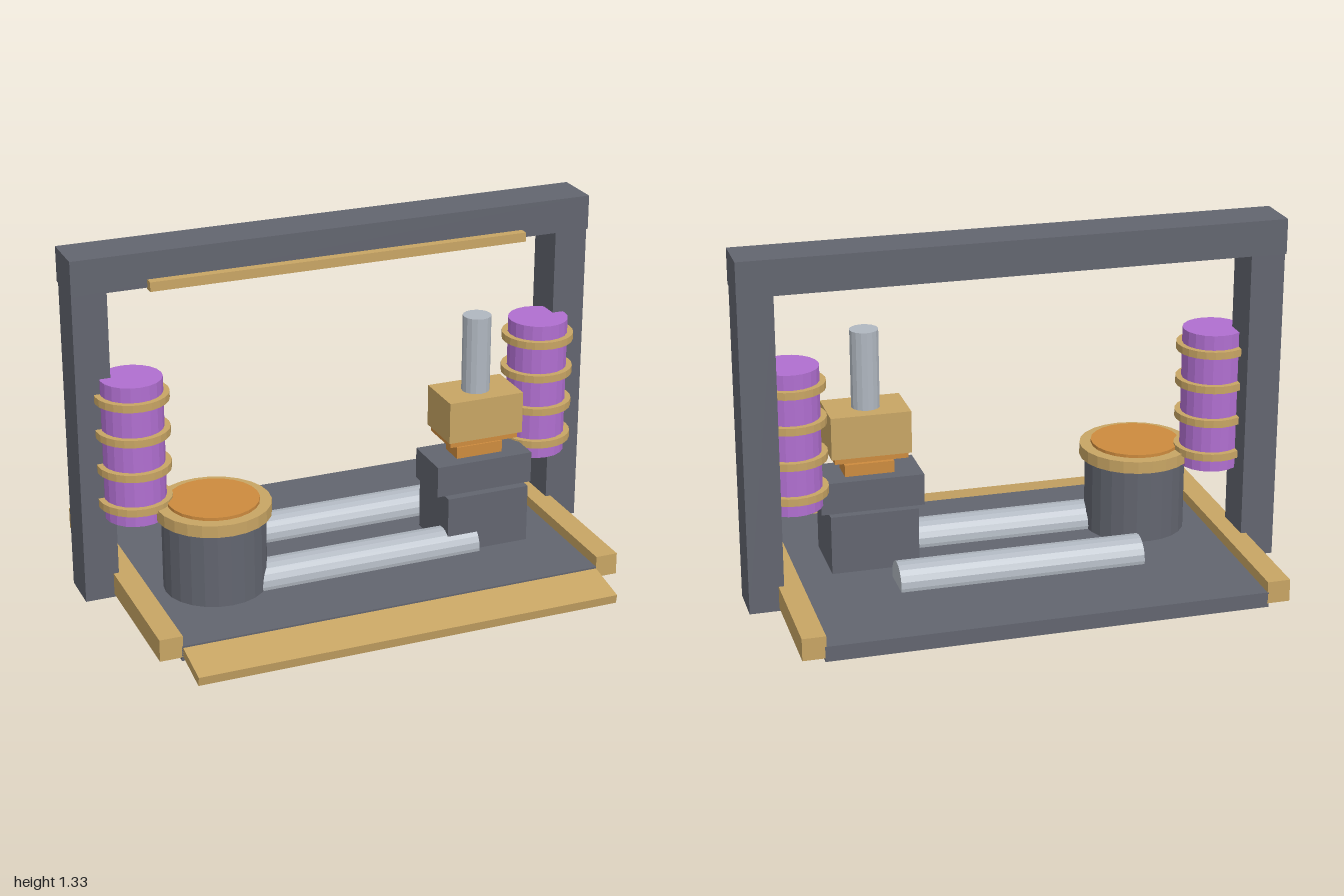
import * as THREE from 'three';

const mat = (name, color, flatShading = true) => {
  const m = new THREE.MeshStandardMaterial({ color, flatShading });
  m.name = name;
  return m;
};

export function createModel() {
  const steel = mat('dark steel', 0x62656f);
  const brass = mat('brass', 0xc8a564);
  const silver = mat('silver', 0xb0b7c0);
  const copper = mat('copper', 0xcd8b3e);
  const violet = mat('violet', 0xb06fd0);

  const model = new THREE.Group();
  model.name = 'workshopGantry';

  const add = (name, geometry, material, parent = model) => {
    const mesh = new THREE.Mesh(geometry, material);
    mesh.name = name;
    parent.add(mesh);
    return mesh;
  };
  // Box given by its limits on each axis
  const box = (name, material, [x0, x1], [y0, y1], [z0, z1], parent) => {
    const mesh = add(name, new THREE.BoxGeometry(x1 - x0, y1 - y0, z1 - z0), material, parent);
    mesh.position.set((x0 + x1) / 2, (y0 + y1) / 2, (z0 + z1) / 2);
    return mesh;
  };
  // Upright cylinder from y0 to y1
  const drum = (name, material, x, z, r, [y0, y1], sides, parent) => {
    const mesh = add(name, new THREE.CylinderGeometry(r, r, y1 - y0, sides), material, parent);
    mesh.position.set(x, (y0 + y1) / 2, z);
    return mesh;
  };

  // Floor plate and tilted front ramp
  box('floorPlate', steel, [-0.81, 0.81], [0.02, 0.077], [-0.655, 0.49]);
  const ramp = add('frontRamp', new THREE.BoxGeometry(1.61, 0.035, 0.18), brass);
  ramp.position.set(0, 0.039, 0.565);
  ramp.rotation.x = 0.18;

  // Gantry frame with a trim strip
  box('topBeam', steel, [-1, 1], [1.205, 1.335], [-0.23, -0.047]);
  box('trimStrip', brass, [-0.725, 0.725], [1.2, 1.235], [-0.013, -0.05]
    .sort((a, b) => a - b));

  // Mirrored sides: post, floor rail, ringed column
  for (const [side, s] of [['left', 1], ['right', -1]]) {
    const span = (a, b) => (s > 0 ? [a, b] : [-b, -a]);
    box(side + 'Post', steel, span(0.87, 0.998), [0.022, 1.21], [-0.22, -0.055]);
    box(side + 'Rail', brass, span(0.805, 0.89), [0.034, 0.117], [-0.655, 0.49]);

    const column = new THREE.Group();
    column.name = side + 'Column';
    model.add(column);
    drum('columnCore', violet, s * 0.8, -0.04, 0.113, [0.35, 0.885], 20, column);
    for (let i = 0; i < 4; i++) {
      const y = 0.413 + i * 0.134;
      drum('columnRing', brass, s * 0.8, -0.04, 0.135, [y - 0.014, y + 0.014], 24, column);
    }
  }

  // Two rollers sunk into the floor
  for (const z of [0.135, -0.23]) {
    const roller = add('floorRoller', new THREE.CylinderGeometry(0.075, 0.075, 0.92, 20), silver);
    roller.rotation.z = Math.PI / 2;
    roller.position.set(0, 0.09, z);
  }

  // Round vat
  drum('vatBody', steel, -0.545, 0.08, 0.19, [0.07, 0.38], 24);
  drum('vatRim', brass, -0.545, 0.08, 0.211, [0.362, 0.408], 24);
  drum('vatContents', copper, -0.545, 0.08, 0.168, [0.39, 0.42], 24);

  // Anvil and press hammer
  box('anvilBase', steel, [0.34, 0.667], [0.07, 0.3], [-0.08, 0.183]);
  box('anvilTop', steel, [0.31, 0.695], [0.3, 0.42], [-0.05, 0.15]);
  box('workpiece', copper, [0.41, 0.595], [0.42, 0.465], [0, 0.1]);
  box('hammerFace', copper, [0.365, 0.638], [0.487, 0.515], [-0.038, 0.138]);
  box('hammerHead', brass, [0.355, 0.652], [0.51, 0.67], [-0.05, 0.15]);
  drum('hammerRod', silver, 0.503, 0.05, 0.053, [0.66, 0.965], 16);

  return model;
}
